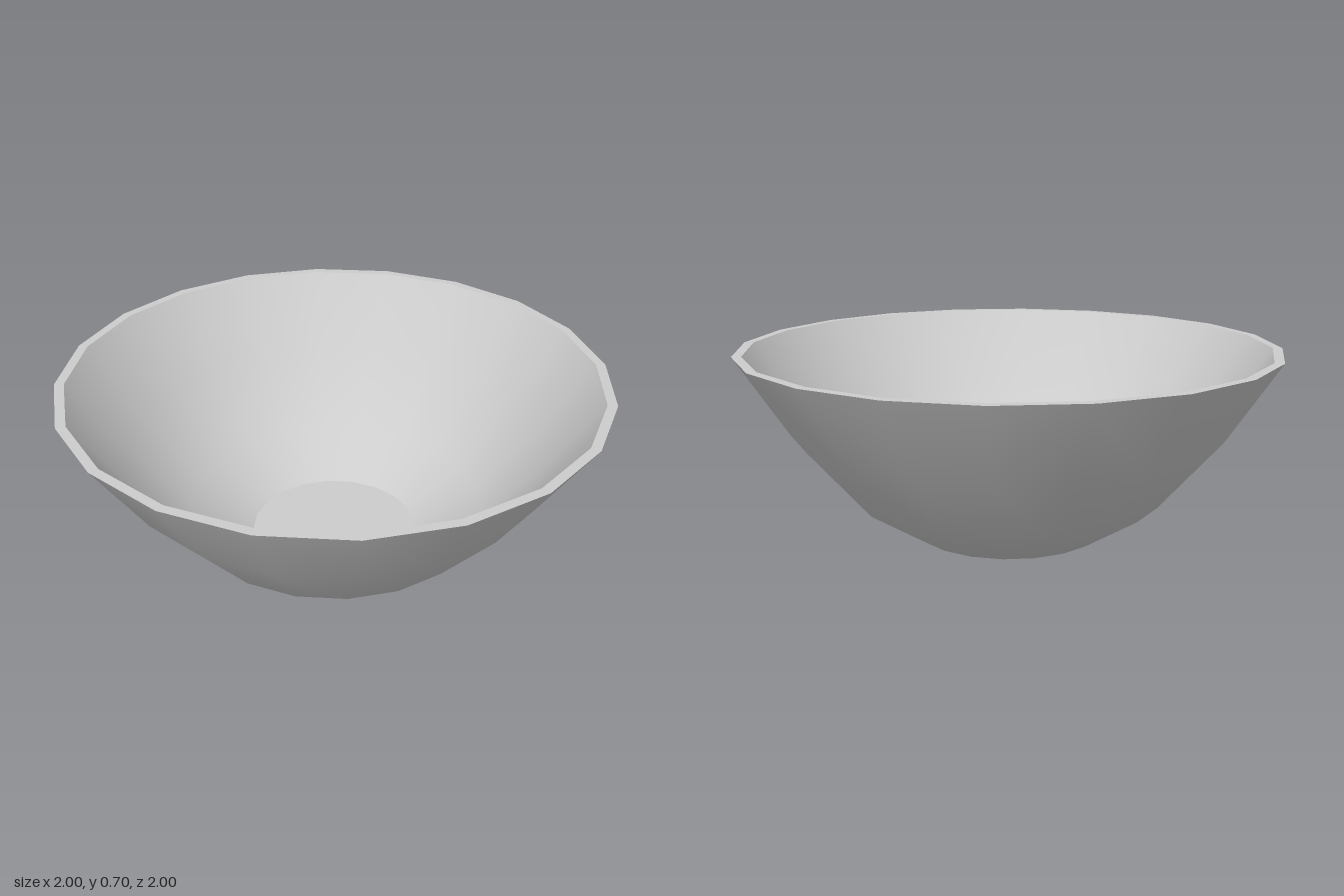
import * as THREE from 'three';

const SIDES = 20;
const HEIGHT = 0.705;

export function createModel() {
  const bowl = new THREE.Group();
  bowl.name = 'bowl';

  const grey = new THREE.MeshStandardMaterial({ color: 0xcccccc });
  grey.name = 'light grey';

  const add = (name, geometry, y = 0) => {
    const mesh = new THREE.Mesh(geometry, grey);
    mesh.name = name;
    mesh.position.y = y;
    bowl.add(mesh);
  };
  const lathe = (points) =>
    new THREE.LatheGeometry(points.map(([r, y]) => new THREE.Vector2(r, y)), SIDES);

  // Outer wall, foot to rim
  add('outerWall', lathe([[0.365, 0], [0.58, 0.14], [0.81, 0.41], [1, HEIGHT]]));

  // Inner wall, rim down to the floor
  add('innerWall', lathe([[0.965, HEIGHT], [0.78, 0.425], [0.555, 0.165], [0.32, 0.03]]));

  // Flat rim joining the two walls
  add('rim', new THREE.RingGeometry(0.965, 1, SIDES).rotateX(-Math.PI / 2), HEIGHT);

  // Flat inner floor and underside
  add('floor', new THREE.CircleGeometry(0.32, SIDES).rotateX(-Math.PI / 2), 0.03);
  add('base', new THREE.CircleGeometry(0.365, SIDES).rotateX(Math.PI / 2));

  return bowl;
}
